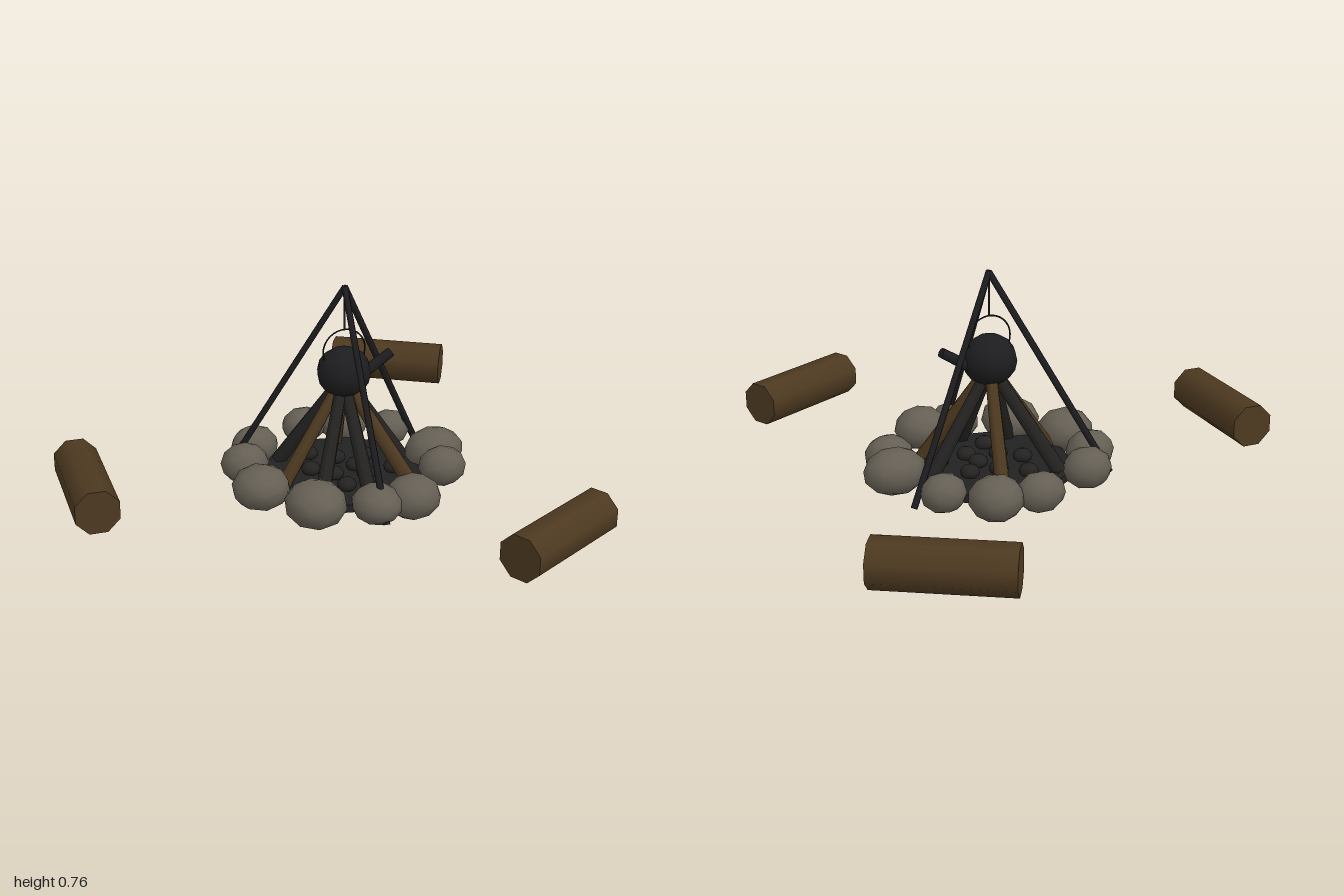
import * as THREE from 'three';

const mat = (name, color) => {
  const m = new THREE.MeshStandardMaterial({ color });
  m.name = name;
  return m;
};
const V = (x, y, z) => new THREE.Vector3(x, y, z);
const UP = V(0, 1, 0);

export function createModel() {
  const wood = mat('bark brown', 0x4d3920);
  const char = mat('charred wood', 0x242322);
  const ash = mat('ash ground', 0x222223);
  const iron = mat('black iron', 0x1d1d1f);
  const stone = mat('grey stone', 0x655f54);

  const model = new THREE.Group();
  model.name = 'campfire';
  const group = (name) => {
    const g = new THREE.Group();
    g.name = name;
    model.add(g);
    return g;
  };
  const add = (parent, name, geo, material, pos = V(0, 0, 0)) => {
    const m = new THREE.Mesh(geo, material);
    m.name = name;
    m.position.copy(pos);
    parent.add(m);
    return m;
  };
  // Cylinder running from point a to point b
  const rod = (parent, name, a, b, ra, rb, sides, material) => {
    const d = b.clone().sub(a);
    const geo = new THREE.CylinderGeometry(rb, ra, d.length(), sides);
    geo.rotateY(Math.PI / sides);
    const m = add(parent, name, geo, material, a.clone().add(b).multiplyScalar(0.5));
    m.quaternion.setFromUnitVectors(UP, d.normalize());
    return m;
  };
  const cx = 0.14, cz = -0.02;

  // Three seat logs: centre x, z and half-length direction
  const seats = group('seatLogs');
  [[0.652, -0.815, 0.193, 0.122], [0.575, 0.818, 0.2, -0.102], [-0.802, -0.066, -0.008, 0.223]]
    .forEach(([x, z, dx, dz]) => {
      const geo = new THREE.CylinderGeometry(0.083, 0.083, 2 * Math.hypot(dx, dz), 8);
      geo.rotateY(Math.PI / 8).rotateX(Math.PI / 2);
      add(seats, 'seatLog', geo, wood, V(x, 0.135, z)).rotation.y = Math.atan2(dx, dz);
    });

  // Fire bed
  add(model, 'ashBed', new THREE.CylinderGeometry(0.29, 0.29, 0.03, 16), ash, V(cx, 0.045, cz));

  // Ring of stones: x, z, radius x, radius z, height radius
  const ring = group('stoneRing');
  [
    [0.12, -0.385, 0.088, 0.072, 0.072], [0.277, -0.365, 0.097, 0.097, 0.08],
    [0.42, -0.25, 0.082, 0.075, 0.07], [0.503, -0.01, 0.115, 0.092, 0.085],
    [0.47, 0.135, 0.09, 0.077, 0.075], [0.27, 0.325, 0.102, 0.095, 0.081],
    [0.13, 0.335, 0.09, 0.097, 0.07], [-0.07, 0.265, 0.11, 0.117, 0.084],
    [-0.207, 0.075, 0.106, 0.106, 0.081], [-0.2, -0.135, 0.09, 0.08, 0.075],
    [-0.117, -0.272, 0.09, 0.08, 0.076],
  ].forEach(([x, z, rx, rz, ry], i) => {
    const geo = new THREE.IcosahedronGeometry(1, 1).rotateY(i * 1.3).rotateX(i * 0.7);
    geo.scale(rx, ry, rz);
    add(ring, 'stone', geo, stone, V(x, 0.092, z));
  });

  // Leaning firewood: angle in degrees around the fire, material
  const firewood = group('firewood');
  [[-75, wood], [-10, char], [40, wood], [88, char], [128, char], [168, wood], [222, char]]
    .forEach(([deg, m]) => {
      const a = deg * Math.PI / 180, c = Math.cos(a), s = Math.sin(a);
      rod(firewood, 'firewoodStick', V(cx + 0.255 * c, 0.06, cz + 0.255 * s),
        V(cx + 0.02 * c, 0.4, cz + 0.02 * s), 0.029, 0.023, 6, m);
    });

  // Coals scattered on the bed
  const coals = group('coals');
  for (let i = 0; i < 9; i++) {
    const a = i * 2.4, r = 0.05 + 0.017 * i;
    const geo = new THREE.IcosahedronGeometry(0.036, 1).scale(1, 0.75, 1);
    add(coals, 'coal', geo, char, V(cx + r * Math.cos(a), 0.075, cz + r * Math.sin(a)));
  }

  // Tripod
  const tripod = group('tripod');
  const apex = V(cx, 0.77, cz + 0.005);
  [[-0.222, -0.245], [0.52, -0.23], [0.137, 0.41]].forEach(([x, z]) =>
    rod(tripod, 'tripodLeg', V(x, 0.045, z), apex, 0.013, 0.012, 6, iron));
  rod(tripod, 'hangingWire', V(cx, 0.61, cz + 0.005), apex, 0.004, 0.004, 6, iron);

  // Kettle with spout and wire handle
  const kettle = group('kettle');
  kettle.position.set(cx, 0.452, cz + 0.005);
  add(kettle, 'kettleBody', new THREE.SphereGeometry(0.1, 10, 8).scale(1, 0.92, 0.97), iron);
  rod(kettle, 'kettleSpout', V(0.07, -0.02, 0), V(0.182, 0.052, 0), 0.021, 0.018, 8, iron);
  add(kettle, 'kettleHandle', new THREE.TorusGeometry(0.08, 0.003, 6, 24, Math.PI), iron, V(0, 0.08, 0));
  for (const s of [-1, 1])
    rod(kettle, 'handleEnd', V(s * 0.075, 0.04, 0), V(s * 0.08, 0.08, 0), 0.003, 0.003, 6, iron);

  return model;
}
